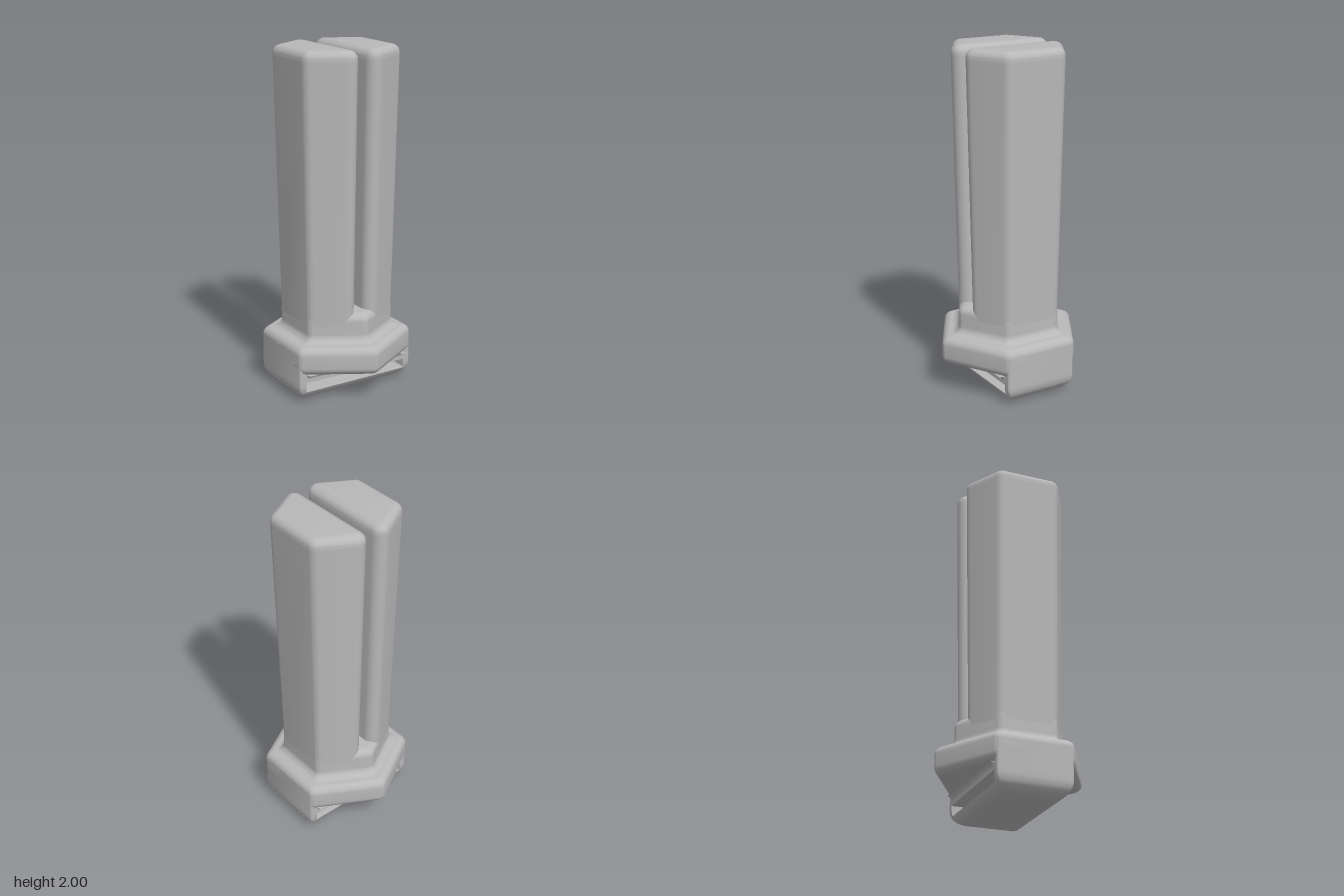
import * as THREE from 'three';
import { toCreasedNormals } from 'three/addons/utils/BufferGeometryUtils.js';

const S3 = Math.sqrt(3);

// Outline of [x, z] points with every corner rounded by its radius
function roundPoly(pts, radii, seg = 8) {
  const out = [];
  pts.forEach((p, i) => {
    const P = new THREE.Vector2(...p);
    const u = new THREE.Vector2(...pts[(i + pts.length - 1) % pts.length]).sub(P).normalize();
    const v = new THREE.Vector2(...pts[(i + 1) % pts.length]).sub(P).normalize();
    const half = Math.acos(u.dot(v)) / 2, phi = Math.PI - 2 * half;
    const r = Math.max(radii[i], 0.003);
    const c = u.clone().add(v).normalize().multiplyScalar(r / Math.sin(half)).add(P);
    const s = u.multiplyScalar(r / Math.tan(half)).add(P).sub(c);
    const e = v.multiplyScalar(r / Math.tan(half)).add(P).sub(c);
    for (let k = 0; k <= seg; k++) {
      const a = Math.sin((1 - k / seg) * phi) / Math.sin(phi);
      const b = Math.sin((k / seg) * phi) / Math.sin(phi);
      out.push([c.x + s.x * a + e.x * b, c.y + s.y * a + e.y * b]);
    }
  });
  return out;
}

// Closed solid through stacked outlines, listed from bottom to top
function loft(rings) {
  const n = rings[0].pts.length, pos = [], idx = [];
  const addRing = (r) => r.pts.forEach(([x, z]) => pos.push(x, r.y, z));
  rings.forEach(addRing);
  for (let i = 0; i < rings.length - 1; i++) {
    for (let j = 0; j < n; j++) {
      const a = i * n + j, b = i * n + (j + 1) % n;
      idx.push(a, b, b + n, a, b + n, a + n);
    }
  }
  [0, rings.length - 1].forEach((ri, top) => {
    const r = rings[ri], c = pos.length / 3;
    const cx = r.pts.reduce((t, p) => t + p[0], 0) / n;
    const cz = r.pts.reduce((t, p) => t + p[1], 0) / n;
    pos.push(cx, r.y, cz);
    for (let j = 0; j < n; j++) {
      const a = ri * n + j, b = ri * n + (j + 1) % n;
      if (top) idx.push(c, a, b); else idx.push(c, b, a);
    }
  });
  const g = new THREE.BufferGeometry();
  g.setAttribute('position', new THREE.Float32BufferAttribute(pos, 3));
  g.setIndex(idx);
  return toCreasedNormals(g, 0.6);
}

const apothem = (y) => 0.283 + 0.031 * (y - 0.35) / 1.65;

function hexRing(a, y, r) {
  const pts = [];
  for (let i = 0; i < 6; i++) {
    const t = Math.PI / 6 + i * Math.PI / 3;
    pts.push([a * 2 / S3 * Math.cos(t), -a * 2 / S3 * Math.sin(t)]);
  }
  return { y, pts: roundPoly(pts, Array(6).fill(r)) };
}

// Half hexagon beside the central slot, inset by d
function prongRing(y, d) {
  const a = apothem(y) - d, x0 = 0.029 + d;
  const z0 = (2 * a - x0) / S3, z1 = a / S3, r = 0.055 - d;
  return { y, pts: roundPoly([[a, z1], [a, -z1], [x0, -z0], [x0, z0]], [r, r, r, r]) };
}

function rectRing(y, x0, x1, hz, r0, r1) {
  return { y, pts: roundPoly([[x1, hz], [x1, -hz], [x0, -hz], [x0, hz]], [r1, r1, r0, r0]) };
}

// Quarter-circle steps: calls f(sin, cos) from 0 to 90 degrees
function quarter(f, steps = 8) {
  return Array.from({ length: steps + 1 }, (_, i) => {
    const t = i / steps * Math.PI / 2;
    return f(Math.sin(t), Math.cos(t));
  });
}

export function createModel() {
  const group = new THREE.Group();
  const grey = new THREE.MeshStandardMaterial({ color: 0xb8b8b8 });
  grey.name = 'plain grey';
  const add = (name, geo, turn = 0) => {
    const m = new THREE.Mesh(geo, grey);
    m.name = name;
    m.rotation.y = turn;
    group.add(m);
  };

  // Hexagonal collar, filleted into the short core under the slot
  const R = 0.048;
  add('collarAndCore', loft([
    ...quarter((s, c) => hexRing(0.38 - R + R * s, 0.168 + R - R * c, 0.04)),
    ...quarter((s, c) => hexRing(0.38 - R + R * c, 0.336 - R + R * s, 0.04)),
    ...quarter((s, c) => hexRing(0.284 + R - R * s, 0.336 + R - R * c, 0.045)),
    ...quarter((s, c) => hexRing(apothem(0.45) - R + R * c, 0.505 - R + R * s, 0.045)),
  ]));

  // Two tapering prongs separated by the slot
  const prong = loft([
    prongRing(0.36, 0), prongRing(1.94, 0),
    ...quarter((s, c) => prongRing(1.95 + 0.05 * s, 0.05 * (1 - c))),
  ]);
  add('leftProng', prong);
  add('rightProng', prong, Math.PI);

  // Strap loop: rounded bottom bar, two end posts and the block above the gap
  const B = 0.1;
  const curve = (y) => (y >= B ? B : Math.sqrt(B * B - (B - y) ** 2));
  const hx = (y) => 0.28 + curve(y);
  const hz = (y) => 0.119 + curve(y);
  const barYs = quarter((s, c) => 0.06 * (1 - c), 10);
  add('strapBar', loft(barYs.map((y) => rectRing(y, -hx(y), hx(y), hz(y), 0.015, 0.015))));

  const post = loft([0.055, 0.07, 0.085, 0.1, 0.125].map((y) =>
    rectRing(y, 0.335 - 0.02 * Math.max(0, (0.07 - y) / 0.015), hx(y), hz(y), 0.003, 0.015)));
  add('leftPost', post);
  add('rightPost', post, Math.PI);

  add('strapBlock', loft([
    rectRing(0.12, -0.38, 0.38, 0.219, 0.015, 0.015),
    rectRing(0.29, -0.38, 0.38, 0.219, 0.015, 0.015),
  ]));

  // Small fillet where the block meets the collar's underside
  add('blockFillet', loft(quarter((s, c) =>
    rectRing(0.135 + 0.035 * s, -0.33, 0.33, 0.218 + 0.03 * (1 - c), 0.01, 0.01))));

  return group;
}
